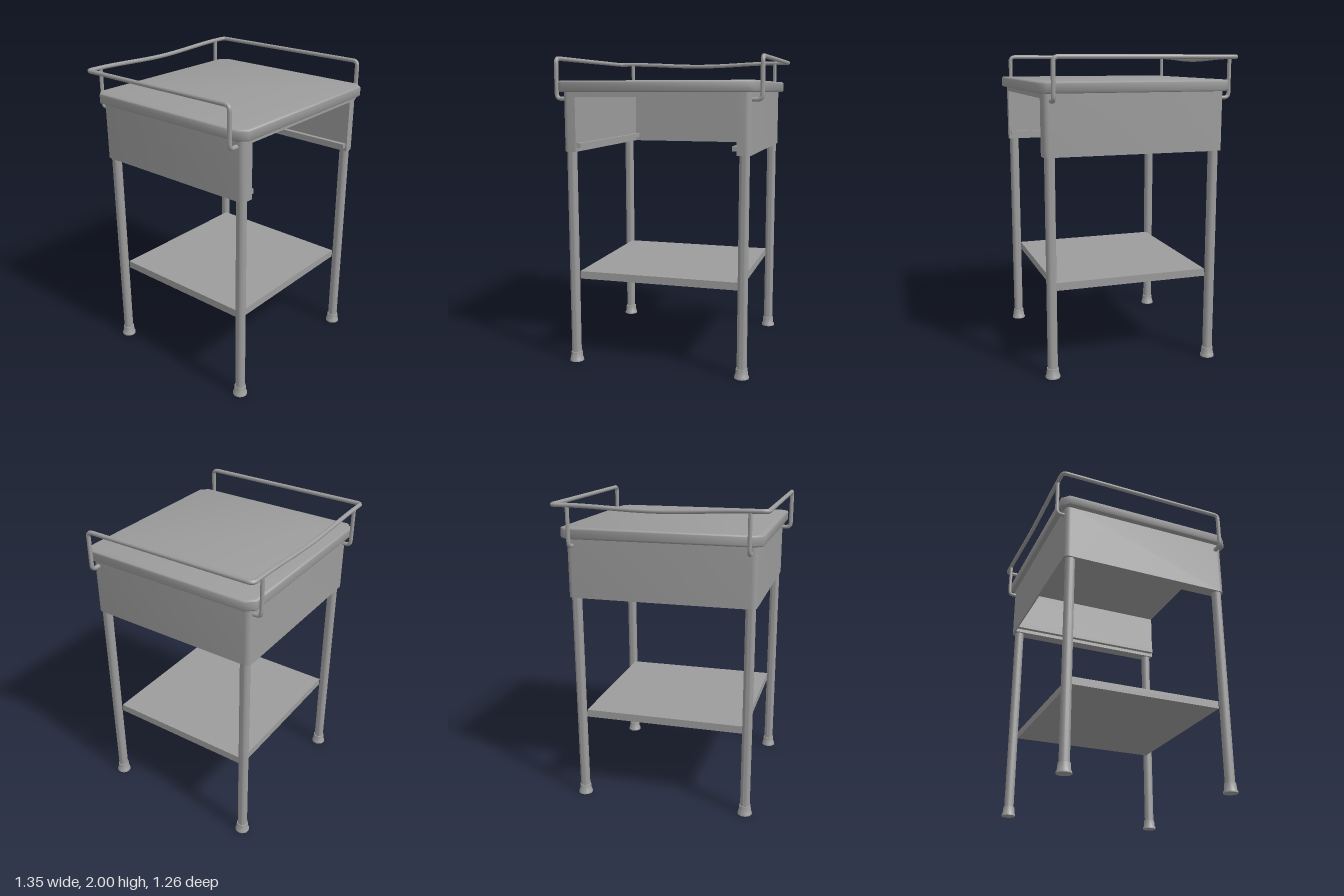
import * as THREE from 'three';
import { toCreasedNormals } from 'three/addons/utils/BufferGeometryUtils.js';

const material = new THREE.MeshStandardMaterial({ color: 0x9c9c9c, side: THREE.DoubleSide });

function add(group, name, geometry, x = 0, y = 0, z = 0, crease = 0.7) {
  const mesh = new THREE.Mesh(toCreasedNormals(geometry, crease), material);
  mesh.name = name;
  mesh.position.set(x, y, z);
  group.add(mesh);
}

// Box given by its limits on each axis
function addBox(group, name, [x0, x1], [y0, y1], [z0, z1]) {
  add(group, name, new THREE.BoxGeometry(Math.abs(x1 - x0), y1 - y0, z1 - z0),
    (x0 + x1) / 2, (y0 + y1) / 2, (z0 + z1) / 2);
}

// Flat shape drawn in x and z, extruded upwards
function slab(points, depth, options = {}) {
  const shape = new THREE.Shape(points.map(([x, z]) => new THREE.Vector2(x, -z)));
  return new THREE.ExtrudeGeometry(shape, { depth, bevelEnabled: false, ...options }).rotateX(-Math.PI / 2);
}

// Quarter circle of points, from one angle to another
function arc(x, z, r, a0, a1) {
  return Array.from({ length: 7 }, (_, i) => {
    const a = a0 + ((a1 - a0) * i) / 6;
    return [x + r * Math.cos(a), z + r * Math.sin(a)];
  });
}

// Round bar through the points, with bent corners
function bar(points, bend, radius, segments) {
  const p = points.map((a) => new THREE.Vector3(...a));
  const path = new THREE.CurvePath();
  let from = p[0];
  for (let i = 1; i < p.length - 1; i++) {
    const toward = (q) => p[i].clone().add(q.clone().sub(p[i]).setLength(bend));
    const start = toward(p[i - 1]), end = toward(p[i + 1]);
    path.add(new THREE.LineCurve3(from, start));
    path.add(new THREE.QuadraticBezierCurve3(start, p[i], end));
    from = end;
  }
  path.add(new THREE.LineCurve3(from, p[p.length - 1]));
  return new THREE.TubeGeometry(path, segments, radius, 12, false);
}

export function createModel() {
  const model = new THREE.Group();
  model.name = 'bedsideTable';

  // Table top with cut corners and softened edges
  const b = 0.012, w = 0.635 - b, zb = -0.6 + b, zf = 0.63 - b, c = 0.041;
  const top = slab([
    [-w, zf - c], [-w + c, zf], [w - c, zf], [w, zf - c],
    [w, zb + c], [w - c, zb], [-w + c, zb], [-w, zb + c],
  ], 0.07 - 2 * b, { bevelEnabled: true, bevelSize: b, bevelThickness: b, bevelSegments: 3 });
  add(model, 'tableTop', top, 0, 1.776 + b, 0, 0.9);

  // Case, open at the front and below: thick sides, thin back, flat ceiling
  const q = Math.PI / 2, r = 0.035;
  const half = [[0.517, -0.555], [0.517, 0.598],
    ...arc(0.6 - r, 0.598 - r, r, q, 0), ...arc(0.6 - r, -0.565 + r, r, 0, -q)];
  const otherHalf = half.map(([x, z]) => [-x, z]).reverse();
  add(model, 'case', slab([...half, ...otherHalf], 0.38), 0, 1.4, 0);
  addBox(model, 'caseCeiling', [-0.517, 0.517], [1.746, 1.78], [-0.555, 0.598]);

  for (const s of [-1, 1]) {
    // Drawer runners
    addBox(model, 'drawerRunner', [s * 0.488, s * 0.517], [1.425, 1.455], [-0.555, 0.588]);

    // Legs with rubber feet
    for (const z of [0.556, -0.516]) {
      add(model, 'leg', new THREE.CylinderGeometry(0.032, 0.032, 1.36, 24), s * 0.56, 0.722, z);
      const profile = [[0, 0], [0.047, 0], [0.046, 0.012], [0.041, 0.018], [0.037, 0.063], [0.03, 0.065]]
        .map(([radius, y]) => new THREE.Vector2(radius, y));
      add(model, 'foot', new THREE.LatheGeometry(profile, 24), s * 0.56, 0, z);
    }

    // Rear posts carrying the rail
    add(model, 'railPost', bar([[s * 0.558, 1.984, -0.615], [s * 0.558, 1.733, -0.615],
      [s * 0.558, 1.733, -0.56]], 0.03, 0.0125, 40));
  }

  // Lower shelf
  addBox(model, 'shelf', [-0.535, 0.535], [0.556, 0.606], [-0.49, 0.53]);

  // Guard rail round the sides and back, dipping in the middle of the back
  const rail = bar([
    [0.595, 1.733, 0.55], [0.66, 1.733, 0.55], [0.66, 1.986, 0.55], [0.66, 1.986, -0.617],
    [-0.66, 1.986, -0.617], [-0.66, 1.986, 0.55], [-0.66, 1.733, 0.55], [-0.595, 1.733, 0.55],
  ], 0.032, 0.014, 400);
  const pos = rail.attributes.position;
  for (let i = 0; i < pos.count; i++) {
    const x = pos.getX(i);
    if (Math.abs(x) < 0.58) pos.setY(i, pos.getY(i) - 0.019 * Math.cos((Math.PI * x) / 1.16) ** 2);
  }
  add(model, 'guardRail', rail);

  return model;
}
